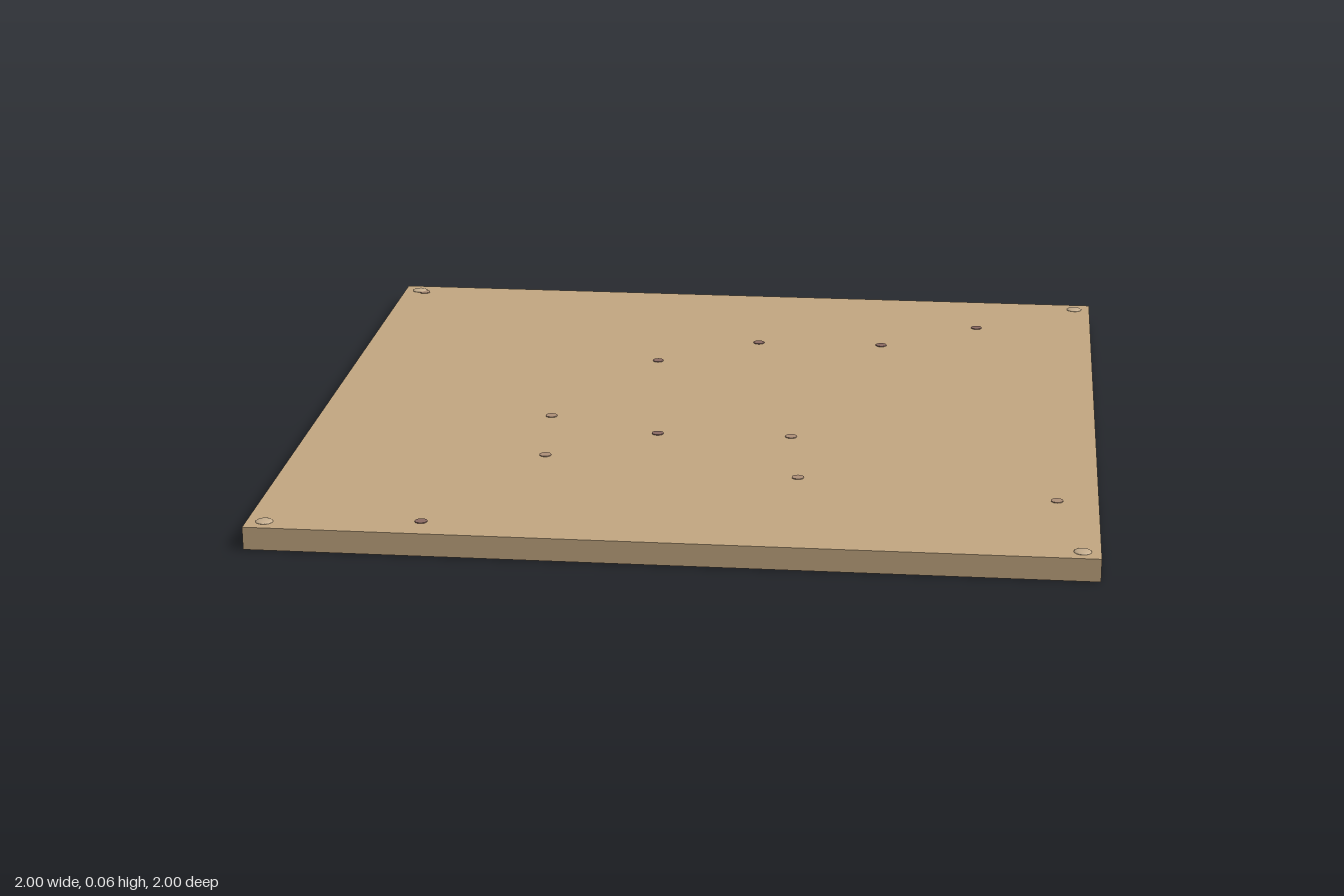
import * as THREE from 'three';

const T = 0.056; // board thickness

export function createModel() {
  const model = new THREE.Group();
  const mat = (color) => new THREE.MeshStandardMaterial({ color });
  const add = (name, geometry, material, x, y, z) => {
    const mesh = new THREE.Mesh(geometry, material);
    mesh.name = name;
    mesh.position.set(x, y, z);
    model.add(mesh);
  };

  // Square board
  add('board', new THREE.BoxGeometry(2, T, 2), mat(0xc4a882), 0, T / 2, 0);

  // Low domed pin at each corner
  const dome = new THREE.SphereGeometry(0.021, 16, 6, 0, Math.PI * 2, 0, Math.PI / 2);
  dome.scale(1, 0.25, 1);
  const pinMat = mat(0xc8b090);
  for (const x of [-0.957, 0.957]) {
    for (const z of [-0.957, 0.957]) add('cornerPin', dome, pinMat, x, T, z);
  }

  // Thin round spots scattered on the top: dark and pale
  const disc = new THREE.CylinderGeometry(0.015, 0.015, 0.002, 16);
  const spots = (name, color, places) => {
    const material = mat(color);
    for (const [x, z] of places) add(name, disc, material, x, T + 0.001, z);
  };
  spots('darkSpot', 0x8c6c64, [
    [0.68, -0.75], [0.08, -0.55], [0.42, -0.56], [-0.18, -0.36], [-0.11, 0.24], [-0.59, 0.92],
  ]);
  spots('paleSpot', 0xb0917a, [
    [-0.94, -0.94], [-0.4, 0.13], [0.23, 0.23], [-0.37, 0.43], [0.27, 0.53], [0.9, 0.63],
  ]);

  return model;
}
